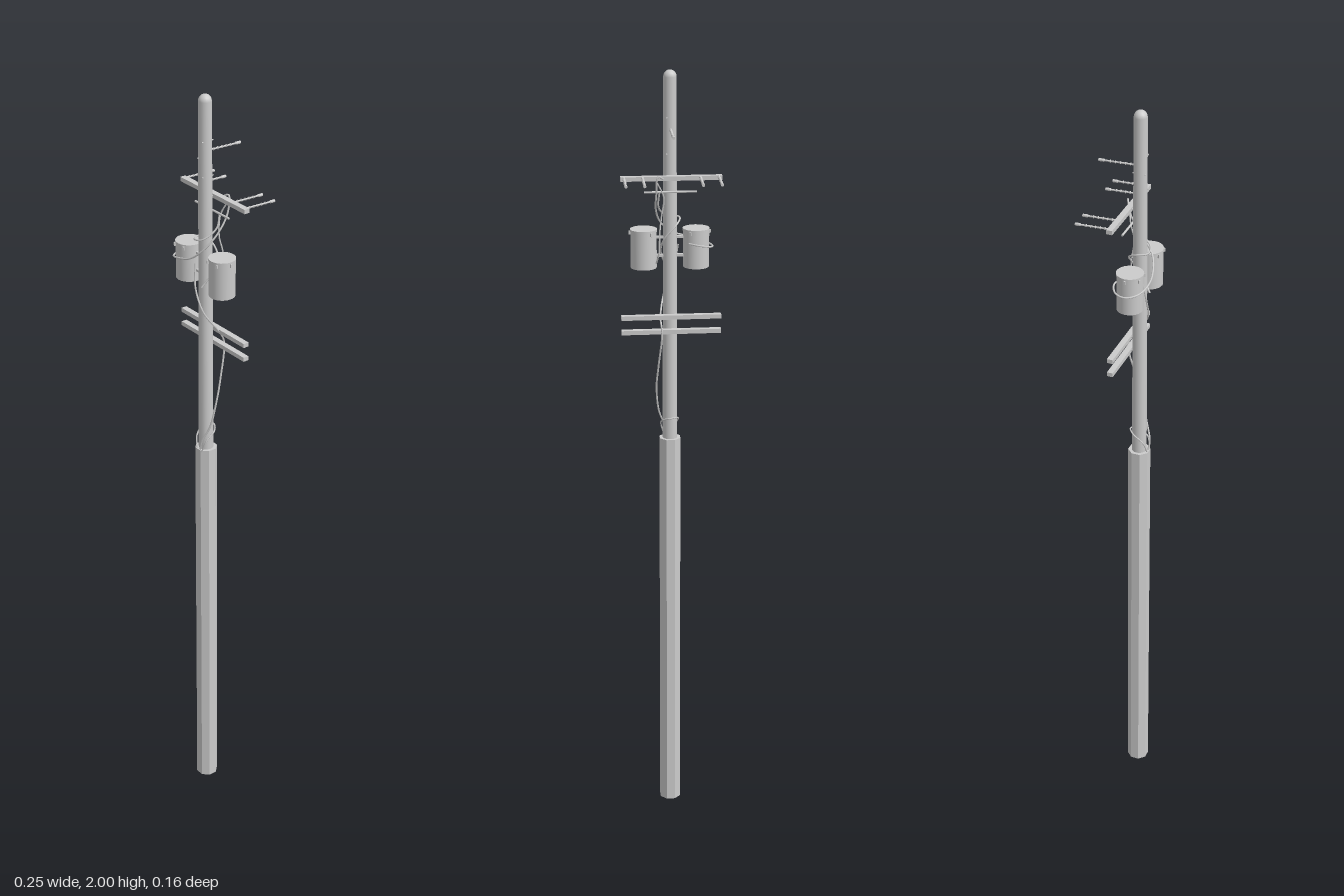
import * as THREE from 'three';

const grey = new THREE.MeshStandardMaterial({ color: 0xcccccc });
const flat = new THREE.MeshStandardMaterial({ color: 0xcccccc, flatShading: true });
const POLE_Z = 0.036;

function add(parent, name, geometry, x = 0, y = 0, z = 0, material = grey) {
  const mesh = new THREE.Mesh(geometry, material);
  mesh.name = name;
  mesh.position.set(x, y, z);
  parent.add(mesh);
  return mesh;
}

// Cylinder between two points
function rod(parent, name, a, b, r, sides = 8) {
  const from = new THREE.Vector3(...a), to = new THREE.Vector3(...b);
  const dir = to.clone().sub(from);
  const mesh = add(parent, name, new THREE.CylinderGeometry(r, r, dir.length(), sides));
  mesh.position.copy(from).add(to).multiplyScalar(0.5);
  mesh.quaternion.setFromUnitVectors(new THREE.Vector3(0, 1, 0), dir.normalize());
  return mesh;
}

function cable(parent, name, points, r = 0.0024) {
  const curve = new THREE.CatmullRomCurve3(points.map(p => new THREE.Vector3(...p)));
  add(parent, name, new THREE.TubeGeometry(curve, points.length * 6, r, 6));
}

// Ribbed insulator pin pointing backwards (-z) from its base
function insulator(x, y, z, length) {
  const g = new THREE.Group();
  g.name = 'insulatorPin';
  const profile = [[0, 0], [0.0022, 0]];
  for (let i = 0; i < 5; i++) {
    const h = length * (0.1 + i * 0.14);
    profile.push([0.0022, h], [0.0038, h + 0.001], [0.0038, h + 0.002], [0.0022, h + 0.003]);
  }
  profile.push([0.0024, length * 0.83], [0.0038, length * 0.85], [0.0038, length], [0, length]);
  add(g, 'insulator', new THREE.LatheGeometry(profile.map(p => new THREE.Vector2(...p)), 10), 0, 0, 0, flat);
  g.rotation.x = -Math.PI / 2 - 0.04;
  g.position.set(x, y, z);
  return g;
}

// Transformer can with lid, lugs and brackets; side is +1 or -1
function transformer(side) {
  const g = new THREE.Group();
  g.name = side > 0 ? 'leftTransformer' : 'rightTransformer';
  const x = side * 0.066;
  add(g, 'can', new THREE.CylinderGeometry(0.033, 0.033, 0.094, 24), x, 1.552, POLE_Z);
  add(g, 'lid', new THREE.CylinderGeometry(0.034, 0.034, 0.006, 24), x, 1.601, POLE_Z);
  for (const a of [0, 1.05, 2.1, 4.2]) {
    const lug = add(g, 'lug', new THREE.BoxGeometry(0.005, 0.009, 0.004),
      x + side * Math.cos(a) * 0.035, 1.595, POLE_Z + Math.sin(a) * 0.035);
    lug.rotation.y = -side * a;
  }
  for (const y of [1.535, 1.582]) {
    add(g, 'bracket', new THREE.BoxGeometry(0.026, 0.006, 0.008), side * 0.025, y, POLE_Z);
  }
  return g;
}

export function createModel() {
  const model = new THREE.Group();
  model.name = 'utilityPole';

  // Octagonal lower column
  const column = add(model, 'lowerColumn', new THREE.CylinderGeometry(0.0285, 0.0285, 1.05, 8), 0, 0.525, POLE_Z, flat);
  column.rotation.y = Math.PI / 8;

  // Slightly tapered upper pole with a domed tip
  const profile = [[0.019, 1.04], [0.0165, 1.983]];
  for (let i = 1; i <= 5; i++) {
    const a = i * Math.PI / 10;
    profile.push([i === 5 ? 0 : 0.0165 * Math.cos(a), 1.983 + 0.017 * Math.sin(a)]);
  }
  add(model, 'upperPole', new THREE.LatheGeometry(profile.map(p => new THREE.Vector2(...p)), 16), 0, 0, POLE_Z);

  // Bolts through the pole
  for (const [x, y] of [[0.009, 1.885], [0.009, 1.795], [-0.008, 1.84]]) {
    rod(model, 'poleBolt', [x, y, POLE_Z - 0.017], [x, y, POLE_Z + 0.017], 0.002, 6);
  }

  // Crossarms behind the pole
  for (const y of [1.738, 1.382, 1.344]) {
    add(model, 'crossarm', new THREE.BoxGeometry(0.252, 0.011, 0.015), -0.001, y, 0.0075);
    rod(model, 'crossarmBolt', [0, y, 0], [0, y, 0.026], 0.003, 6);
  }
  rod(model, 'smallCrossbar', [-0.066, 1.701, 0.016], [0.066, 1.701, 0.016], 0.0028);

  // Insulators: four on the top crossarm, one high on the pole
  for (const x of [-0.118, -0.072, 0.071, 0.117]) model.add(insulator(x, 1.742, 0.004, 0.086));
  model.add(insulator(0, 1.857, 0.022, 0.092));

  for (const side of [-1, 1]) model.add(transformer(side));

  // Feed cable looping round the right transformer
  cable(model, 'feedCable', [[0.02, 1.738, -0.002], [0.033, 1.745, -0.009], [0.037, 1.7, -0.003],
    [0.036, 1.655, 0.025], [0.022, 1.615, 0.058], [-0.01, 1.585, 0.073], [-0.05, 1.572, 0.078],
    [-0.088, 1.562, 0.067], [-0.107, 1.557, 0.04], [-0.1, 1.56, 0.012], [-0.07, 1.567, -0.003], [-0.045, 1.57, 0.008]]);

  // Cable wrapping the pole below the small crossbar
  cable(model, 'wrapCable', [[0.028, 1.7, 0.014], [0.03, 1.665, 0.025], [0.015, 1.638, 0.057],
    [-0.012, 1.632, 0.06], [-0.025, 1.63, 0.035], [-0.012, 1.615, 0.012], [0.015, 1.585, 0.01],
    [0.024, 1.55, 0.03], [0.012, 1.51, 0.057]]);

  // Short drop behind the left transformer
  cable(model, 'rearCable', [[0.035, 1.73, -0.006], [0.018, 1.69, 0.004], [0.023, 1.64, 0.012],
    [0.028, 1.6, 0.005], [0.03, 1.55, 0.002], [0.036, 1.52, 0.014]], 0.002);

  // Long cable hanging down to the column
  cable(model, 'dropCable', [[-0.022, 1.56, 0.05], [-0.012, 1.5, 0.058], [0.012, 1.44, 0.052],
    [0.026, 1.38, 0.013], [0.023, 1.345, -0.004], [0.031, 1.25, 0.014], [0.035, 1.19, 0.03],
    [0.028, 1.12, 0.045], [0.012, 1.075, 0.06], [0.004, 1.045, 0.058]]);

  // Loose tail around the pole foot
  cable(model, 'tailCable', [[0.012, 1.045, 0.06], [0.022, 1.08, 0.05], [0.02, 1.1, 0.024],
    [0, 1.108, 0.012], [-0.02, 1.105, 0.027], [-0.016, 1.08, 0.053], [-0.004, 1.045, 0.06]], 0.002);

  return model;
}
